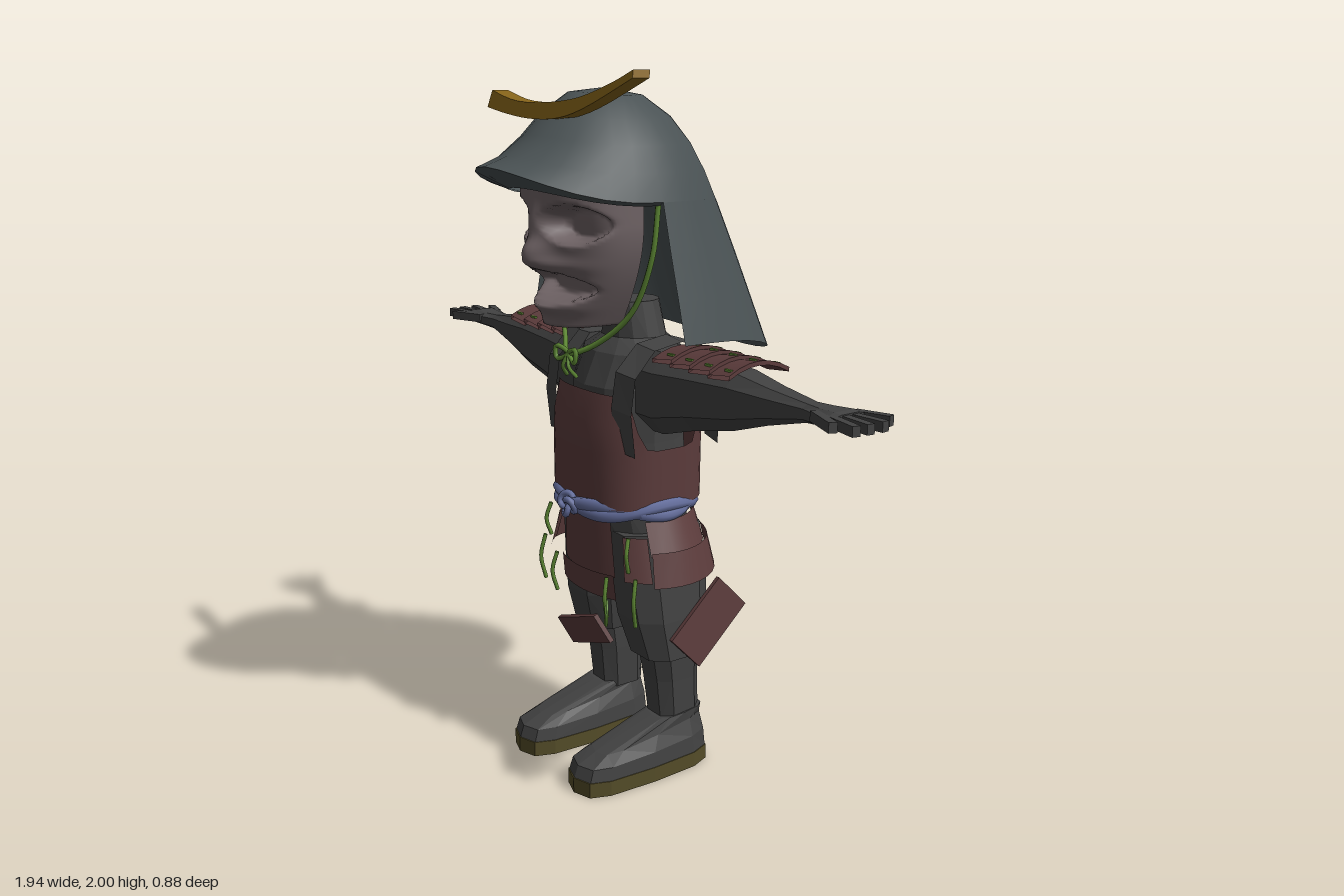
import * as THREE from 'three';
import { mergeVertices, toCreasedNormals } from 'three/addons/utils/BufferGeometryUtils.js';

const mat = (color, flatShading = false) =>
  new THREE.MeshStandardMaterial({ color, flatShading, side: THREE.DoubleSide });
const steel = mat(0x4a5254), skin = mat(0x6e6264), cloth = mat(0x424242, true), lacquer = mat(0x5c3c3c);
const gold = mat(0x86641a, true), sash = mat(0x66709f), cordMat = mat(0x5f8a35), soleMat = mat(0x544c28, true);

// Surface from rows of points
function skinRows(rows) {
  const n = rows[0].length, idx = [];
  for (let j = 0; j < rows.length - 1; j++)
    for (let i = 0; i < n - 1; i++) {
      const a = j * n + i, b = a + 1, c = a + n, d = c + 1;
      idx.push(a, b, c, b, d, c);
    }
  let g = new THREE.BufferGeometry();
  g.setAttribute('position', new THREE.Float32BufferAttribute(rows.flat(2), 3));
  g.setIndex(idx);
  g = mergeVertices(g, 1e-5);
  g.computeVertexNormals();
  return g;
}
// Loft: pt(ring, angle) gives each point; cap closes the ends
function loft(rings, n, pt, { from = 0, to = Math.PI * 2, cap = false } = {}) {
  const rows = rings.map(r => Array.from({ length: n + 1 }, (_, i) => pt(r, from + (to - from) * i / n)));
  if (cap) {
    const flat = row => {
      const c = [0, 1, 2].map(k => row.slice(0, n).reduce((s, p) => s + p[k], 0) / n);
      return row.map(() => c);
    };
    rows.unshift(flat(rows[0]));
    rows.push(flat(rows[rows.length - 1]));
  }
  return skinRows(rows);
}
const pw = (v, p) => Math.sign(v) * Math.abs(v) ** p;
const mix = THREE.MathUtils.lerp, smooth = THREE.MathUtils.smoothstep;
const E8 = { from: Math.PI / 8, to: Math.PI * 17 / 8, cap: true };

export function createModel() {
  const model = new THREE.Group();
  const add = (name, geo, m, parent = model) => {
    const mesh = new THREE.Mesh(geo, m);
    mesh.name = name;
    parent.add(mesh);
    return mesh;
  };
  const tube = (name, pts, r, m, closed = false, parent = model) => add(name, new THREE.TubeGeometry(
    new THREE.CatmullRomCurve3(pts.map(p => new THREE.Vector3(...p)), closed), pts.length * 5, r, 6, closed), m, parent);

  // Helmet rings: half width, front z, back z, then y at front, side, back
  const helm = ([w, zf, zb, yf, ys, yb], a) => {
    const c = Math.cos(a), z0 = 0.07;
    return [w * Math.sin(a), mix(ys, c > 0 ? yf : yb, Math.abs(c) ** 2.4), z0 + c * (c > 0 ? zf - z0 : z0 - zb)];
  };
  const rim = [0.27, 0.44, -0.255, 1.76, 1.67, 1.65];
  add('helmetBowl', loft([
    [0, 0.07, 0.07, 1.955, 1.955, 1.955], [0.09, 0.17, -0.04, 1.945, 1.935, 1.935],
    [0.16, 0.245, -0.12, 1.895, 1.875, 1.88], [0.21, 0.3, -0.18, 1.835, 1.81, 1.805],
    [0.245, 0.37, -0.22, 1.785, 1.74, 1.73], rim], 28, helm), steel);
  add('helmetBrim', loft([rim, [0.255, 0.33, -0.25, 1.7, 1.66, 1.64]], 14, helm,
    { from: -Math.PI / 2, to: Math.PI / 2 }), steel);
  add('neckGuard', loft([rim, [0.305, 0, -0.32, 0, 1.54, 1.5], [0.34, 0, -0.38, 0, 1.42, 1.35],
    [0.37, 0, -0.44, 0, 1.31, 1.2]], 18, helm, { from: Math.PI / 2, to: Math.PI * 1.5 }), steel);

  // Slanted crest
  const crest = new THREE.Shape();
  crest.moveTo(-0.285, 1.945).lineTo(-0.29, 1.9);
  crest.splineThru([[-0.18, 1.885], [-0.05, 1.875], [0.08, 1.88], [0.2, 1.91], [0.37, 1.98]].map(p => new THREE.Vector2(...p)));
  crest.lineTo(0.365, 2.0);
  crest.splineThru([[0.28, 1.967], [0.15, 1.932], [0, 1.918], [-0.15, 1.92], [-0.285, 1.945]].map(p => new THREE.Vector2(...p)));
  const crestGeo = new THREE.ExtrudeGeometry(crest, { depth: 0.05, bevelEnabled: false, curveSegments: 3 });
  const cp = crestGeo.attributes.position;
  for (let i = 0; i < cp.count; i++) cp.setZ(i, cp.getZ(i) + 0.22 - (cp.getY(i) - 1.875) * 0.3);
  add('helmetCrest', crestGeo, gold);

  // Face: half-cylinder with brow, nose and lips raised, eyes and mouth sunk
  const bump = (x, y, cx, cy, rx, ry) => Math.exp(-(((x - cx) / rx) ** 2) - ((y - cy) / ry) ** 2);
  const dent = (x, y, cx, cy, rx, ry) => 1 - smooth(Math.hypot((x - cx) / rx, (y - cy) / ry), 0.75, 1.1);
  const levels = Array.from({ length: 45 }, (_, i) => i / 44);
  add('faceMask', loft(levels, 52, (v, a) => {
    const y = 1.33 + 0.37 * v, w = 0.1 + 0.1 * Math.sin(Math.min(1, v / 0.75) * Math.PI / 2);
    const x = w * Math.sin(a), c = Math.max(0, Math.cos(a)) ** 0.6;
    const d = 0.175 + 0.035 * smooth(v, 0, 0.9)
      + 0.045 * bump(x, y, 0, 1.53, 0.05, 0.035) + 0.02 * bump(x, y, 0, 1.6, 0.03, 0.06)
      + 0.025 * bump(x, y, 0, 1.5, 0.13, 0.02) + 0.025 * bump(x, y, 0, 1.385, 0.11, 0.02)
      - 0.09 * dent(x, y, 0, 1.438, 0.14, 0.042)
      - 0.07 * (dent(x, y, 0.115, 1.61, 0.08, 0.05) + dent(x, y, -0.115, 1.61, 0.08, 0.05));
    return [x, y, 0.08 + d * c];
  }, { from: -Math.PI / 2, to: Math.PI / 2, cap: true }), skin);

  // Chin cord with bow
  tube('chinCord', [[-0.25, 1.67, 0.07], [-0.235, 1.52, 0.08], [-0.17, 1.37, 0.1], [-0.08, 1.28, 0.15], [0, 1.245, 0.19],
    [0.08, 1.28, 0.15], [0.17, 1.37, 0.1], [0.235, 1.52, 0.08], [0.25, 1.67, 0.07]], 0.008, cordMat);
  for (const s of [-1, 1]) {
    tube('chinBow', [[0, 1.245, 0.19], [s * 0.05, 1.26, 0.2], [s * 0.045, 1.225, 0.2]], 0.007, cordMat, true);
    tube('chinCordEnd', [[0, 1.245, 0.19], [s * 0.015, 1.21, 0.2], [s * 0.025, 1.18, 0.18]], 0.006, cordMat);
  }

  // Body: y, half width, half depth
  const oval = ([y, rx, rz, cz = -0.01], a) => [rx * Math.sin(a), y, cz + rz * Math.cos(a)];
  add('underBody', loft([[0.56, 0.12, 0.1, -0.04], [0.62, 0.2, 0.14, -0.03], [0.8, 0.19, 0.16], [1, 0.18, 0.15], [1.15, 0.18, 0.15],
    [1.24, 0.17, 0.13, -0.03], [1.28, 0.1, 0.09, -0.03], [1.38, 0.08, 0.08, -0.02]], 14, oval, { cap: true }), cloth);
  add('cuirass', loft([0, 0.25, 0.5, 0.75, 1], 40, (v, a) => {
    const s = Math.sin(a), c = Math.cos(a);
    const y = 0.82 + v * mix(0.17, c > 0 ? 0.32 : 0.35, smooth(Math.abs(c), 0.25, 0.75));
    const k = 1 - 0.22 * smooth(y, 1.02, 1.2);
    return [0.21 * pw(s, 0.75) * (1 + 0.03 * v), y, -0.005 + 0.185 * pw(c, 0.75) * (c > 0 ? k : 1)];
  }), lacquer);

  // Sash: two twisted bands and a knot
  for (const k of [0, 1])
    tube('sashBand', Array.from({ length: 24 }, (_, i) => {
      const a = i / 24 * Math.PI * 2, t = a * 3 + k * Math.PI;
      return [0.205 * Math.sin(a), 0.812 + 0.014 * Math.sin(t), 0.182 * Math.cos(a) + 0.004 * Math.cos(t)];
    }), 0.02, sash, true);
  const knot = add('sashKnot', new THREE.TorusKnotGeometry(0.022, 0.01, 48, 6), sash);
  knot.position.set(0, 0.81, 0.198);

  // Skirt plates: bands of an ellipse, [y, half width, half depth]
  const plate = (name, from, to, top, bottom) =>
    add(name, loft([top, bottom], 10, oval, { from, to }), lacquer);
  plate('frontSkirtPlate', -0.62, 0.62, [0.78, 0.2, 0.175], [0.61, 0.22, 0.165]);
  plate('frontSkirtHem', -0.56, 0.6, [0.62, 0.235, 0.175], [0.545, 0.24, 0.165]);
  for (const s of [-1, 1]) {
    plate('hipPlate', s * 0.75, s * 1.1, [0.74, 0.235, 0.18], [0.62, 0.28, 0.2]);
    plate('sideSkirtUpper', s * 1.15, s * 2.85, [0.78, 0.205, 0.18], [0.69, 0.25, 0.2]);
    plate('sideSkirtLower', s * 1.15, s * 2.8, [0.705, 0.262, 0.21], [0.61, 0.288, 0.232]);
    for (const [x, y, z, l] of [[0.235, 0.64, 0.13, 0.14], [0.13, 0.62, 0.155, 0.12], [0.2, 0.75, 0.13, 0.1]])
      tube('skirtCord', [[s * x, y, z], [s * (x + 0.008), y - l / 2, z + 0.012], [s * x, y - l, z]], 0.006, cordMat);
  }
  const loose = add('looseFrontPlate', new THREE.BoxGeometry(0.28, 0.09, 0.014), lacquer);
  loose.position.set(0.025, 0.43, 0.16);
  loose.rotation.set(0.4, 0, 0.4);
  const looseSide = add('looseSidePlate', new THREE.BoxGeometry(0.014, 0.13, 0.23), lacquer);
  looseSide.position.set(0.245, 0.46, -0.12);
  looseSide.rotation.set(0.75, 0, 0.12);
  tube('loosePlateCord', [[0.13, 0.55, 0.155], [0.15, 0.52, 0.17], [0.14, 0.48, 0.165]], 0.006, cordMat);

  // Left limbs are built on +x, right ones mirrored
  for (const s of [1, -1]) {
    const side = new THREE.Group();
    side.name = s > 0 ? 'leftLimbs' : 'rightLimbs';
    side.scale.x = s;
    model.add(side);

    // Shoulder strap over the body
    const strap = [[0.98, 0.13], [1.1, 0.145], [1.2, 0.13], [1.27, 0.06], [1.285, -0.04], [1.25, -0.15], [1.1, -0.185], [0.98, -0.18]];
    add('shoulderStrap', skinRows(strap.map(([y, z]) => [[0.14, y + 0.01, z], [0.215, y, z * 0.92 - 0.002]])), cloth, side);

    // Sleeve and arm: x, top, bottom, half depth
    const arm = ([x, t, b, d], a) => [x, (t + b) / 2 + (t - b) / 2 * pw(Math.cos(a), 0.7), -0.025 + d * pw(Math.sin(a), 0.7)];
    add('arm', loft([[0.14, 1.27, 1.03, 0.1], [0.22, 1.27, 1.03, 0.1], [0.34, 1.265, 1.065, 0.085], [0.5, 1.26, 1.1, 0.07],
      [0.62, 1.24, 1.14, 0.052], [0.75, 1.225, 1.175, 0.034], [0.8, 1.225, 1.18, 0.048], [0.86, 1.228, 1.185, 0.062],
      [0.88, 1.225, 1.19, 0.058]], 8, arm, E8), cloth, side);
    // Fingers and thumb: start x, z, end x, z
    for (const [x0, z0, x1, z1] of [[0.85, -0.07, 0.94, -0.1], [0.86, -0.04, 0.97, -0.05], [0.86, -0.012, 0.97, -0.003],
      [0.85, 0.015, 0.965, 0.038], [0.8, 0.015, 0.91, 0.058]]) {
      const f = add('finger', new THREE.BoxGeometry(Math.hypot(x1 - x0, z1 - z0), 0.026, 0.022), cloth, side);
      f.position.set((x0 + x1) / 2, 1.208, (z0 + z1) / 2);
      f.rotation.y = -Math.atan2(z1 - z0, x1 - x0);
    }

    // Shoulder guard of overlapping slats with laces
    for (let i = 0; i < 4; i++) {
      const x = 0.21 + i * 0.08;
      const slat = [[0, 0.005], [0.086, 0.016], [0.086, 0.004], [0, -0.005], [0, 0.005]];
      add('shoulderSlat', skinRows(Array.from({ length: 7 }, (_, k) => {
        const t = k / 3 - 1;
        return slat.map(([dx, dy]) => [x + dx, 1.272 + dy - 0.028 * t * t, -0.04 + 0.1 * t]);
      })), lacquer, side);
      for (const z of [-0.12, -0.04, 0.04])
        add('slatLace', new THREE.BoxGeometry(0.025, 0.006, 0.008), cordMat, side)
          .position.set(x + 0.06, z === -0.04 ? 1.286 : 1.268, z);
    }

    // Leg: y, inner x, outer x, front z, back z
    const leg = ([y, xi, xo, zf, zb], a) => [(xi + xo) / 2 + (xo - xi) / 2 * pw(Math.sin(a), 0.7), y,
      (zf + zb) / 2 + (zf - zb) / 2 * pw(Math.cos(a), 0.7)];
    add('thigh', loft([[0.74, 0.02, 0.2, 0.12, -0.16], [0.6, 0.015, 0.225, 0.105, -0.175], [0.48, 0.03, 0.235, 0.09, -0.165],
      [0.36, 0.055, 0.235, 0.055, -0.15]], 8, leg, E8), cloth, side);
    add('shin', loft([[0.4, 0.07, 0.22, 0.04, -0.14], [0.28, 0.075, 0.21, 0.015, -0.14], [0.15, 0.085, 0.205, 0, -0.145]],
      8, leg, E8), cloth, side);

    // Foot: tilted outlines, y at toe and heel
    const foot = ([yf, yb, w, zf, zb], a) => {
      const c = pw(Math.cos(a), 0.6);
      return [0.15 + w * pw(Math.sin(a), 0.6), mix(yb, yf, (c + 1) / 2), (zf + zb) / 2 + (zf - zb) / 2 * c];
    };
    add('sole', loft([[0, 0, 0.086, 0.285, -0.168], [0.045, 0.045, 0.086, 0.285, -0.168]], 12, foot, { cap: true }), soleMat, side);
    add('foot', loft([[0.045, 0.045, 0.084, 0.282, -0.165], [0.08, 0.1, 0.08, 0.27, -0.16],
      [0.105, 0.155, 0.06, 0.21, -0.15], [0.165, 0.18, 0.058, 0.01, -0.148]], 12, foot, { cap: true }), cloth, side);
  }

  // Keep hard edges on the smooth plated parts
  model.traverse(o => {
    if (/Slat|Plate|Skirt|helmetBrim/.test(o.name)) o.geometry = toCreasedNormals(o.geometry, 0.7);
  });
  return model;
}
